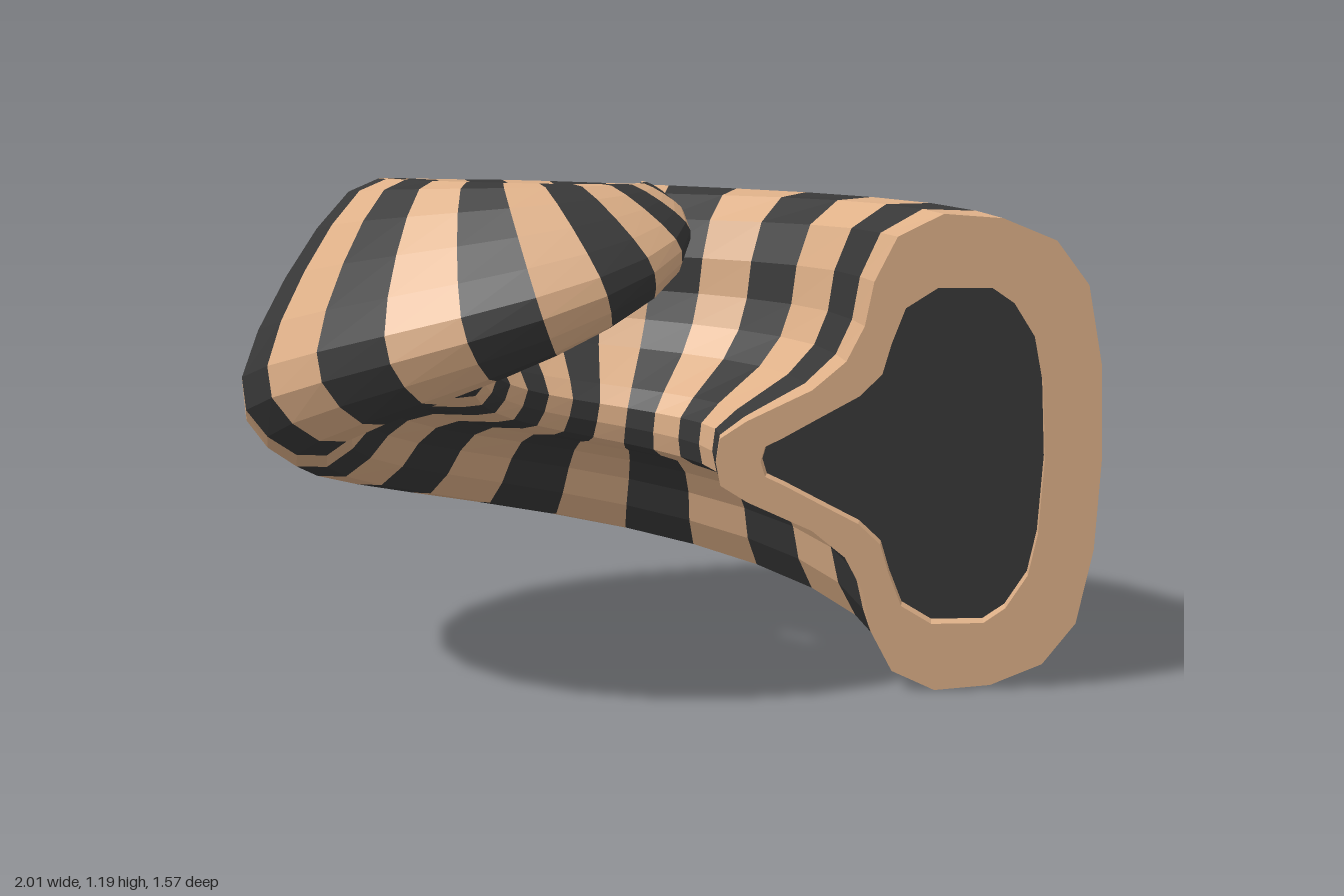
import * as THREE from 'three';

// Half cross-section at the mouth, from the outer side over the top to the inner ridge: [x, height above middle]
const OUTER = [[1, 0], [0.99, 0.22], [0.955, 0.4], [0.88, 0.5], [0.76, 0.55], [0.63, 0.56], [0.53, 0.51],
  [0.48, 0.41], [0.46, 0.31], [0.42, 0.23], [0.345, 0.165], [0.2, 0.095], [0.14, 0.055], [0.13, 0]];
const HOLE = [[0.87, 0], [0.86, 0.18], [0.84, 0.28], [0.79, 0.36], [0.74, 0.395], [0.62, 0.395], [0.55, 0.35],
  [0.52, 0.27], [0.5, 0.2], [0.45, 0.15], [0.36, 0.1], [0.28, 0.055], [0.24, 0.035], [0.23, 0]];
const mirrored = half => [...half, ...half.slice(1, -1).reverse().map(([x, v]) => [x, -v])];

// Spiral stations: radius, height, size, backward pitch, yaw lag
const STEPS = 25;
const stations = new THREE.CubicInterpolant([0, 5, 10, 15, 20, 25], [
  0.765, 0.56, 1, 0.125, 0.2,
  0.64, 0.65, 0.87, 0.125, 0.16,
  0.507, 0.765, 0.714, 0.19, 0.18,
  0.394, 0.9, 0.497, 0.27, 0.23,
  0.275, 1.04, 0.256, 0.38, 0.34,
  0.15, 1.185, 0.005, 0.5, 0.45], 5, new Float32Array(5));

// Points of a cross-section placed at step k of the spiral, pushed forward along it by depth
function ring(section, k, depth = 0) {
  const [radius, height, size, pitch, lag] = stations.evaluate(k);
  const angle = THREE.MathUtils.degToRad(k < 1 ? -2 + 9 * k : 15 * k - 8);
  const roll = THREE.MathUtils.degToRad(2.25 * k);
  const c = Math.cos(angle), s = Math.sin(angle);
  return section.map(([x, v]) => {
    // The section banks steadily: its top turns inward and its ridge turns down
    const p = new THREE.Vector2((x - 0.565) * size, v * size).rotateAround(new THREE.Vector2(), roll);
    const r = radius + p.x;
    const t = lag * p.x - pitch * p.y + depth;
    return new THREE.Vector3(-0.2 + r * c - t * s, height + p.y, 0.22 - r * s - t * c);
  });
}

function fromTriangles(points) {
  const geometry = new THREE.BufferGeometry().setFromPoints(points);
  geometry.computeVertexNormals();
  return geometry;
}

// Closed strip of quads joining two rings
function band(a, b) {
  const tris = [];
  a.forEach((p, j) => {
    const n = (j + 1) % a.length;
    tris.push(p, b[j], b[n], p, b[n], a[n]);
  });
  return fromTriangles(tris);
}

export function createModel() {
  const tan = new THREE.MeshStandardMaterial({ name: 'tan', color: 0xdeb088, flatShading: true });
  const charcoal = new THREE.MeshStandardMaterial({ name: 'charcoal', color: 0x383838, flatShading: true });
  const horn = new THREE.Group();
  horn.name = 'spiralHorn';
  const add = (name, geometry, material) => {
    const mesh = new THREE.Mesh(geometry, material);
    mesh.name = name;
    horn.add(mesh);
  };

  // Striped body, one band per stripe
  const outer = mirrored(OUTER), hole = mirrored(HOLE);
  for (let k = 0; k < STEPS; k++) {
    const dark = k % 2 === 1;
    add(dark ? 'darkStripe' : 'lightStripe', band(ring(outer, k), ring(outer, k + 1)), dark ? charcoal : tan);
  }

  // Mouth: flat rim, shallow wall and dark floor
  const edge = ring(hole, 0), floor = ring(hole, 0, 0.05);
  add('mouthRim', band(edge, ring(outer, 0)), tan);
  add('mouthWall', band(floor, edge), tan);
  const faces = THREE.ShapeUtils.triangulateShape(hole.map(([x, v]) => new THREE.Vector2(x, v)), []);
  add('mouthFloor', fromTriangles(faces.flat().map(i => floor[i])), charcoal);
  return horn;
}
